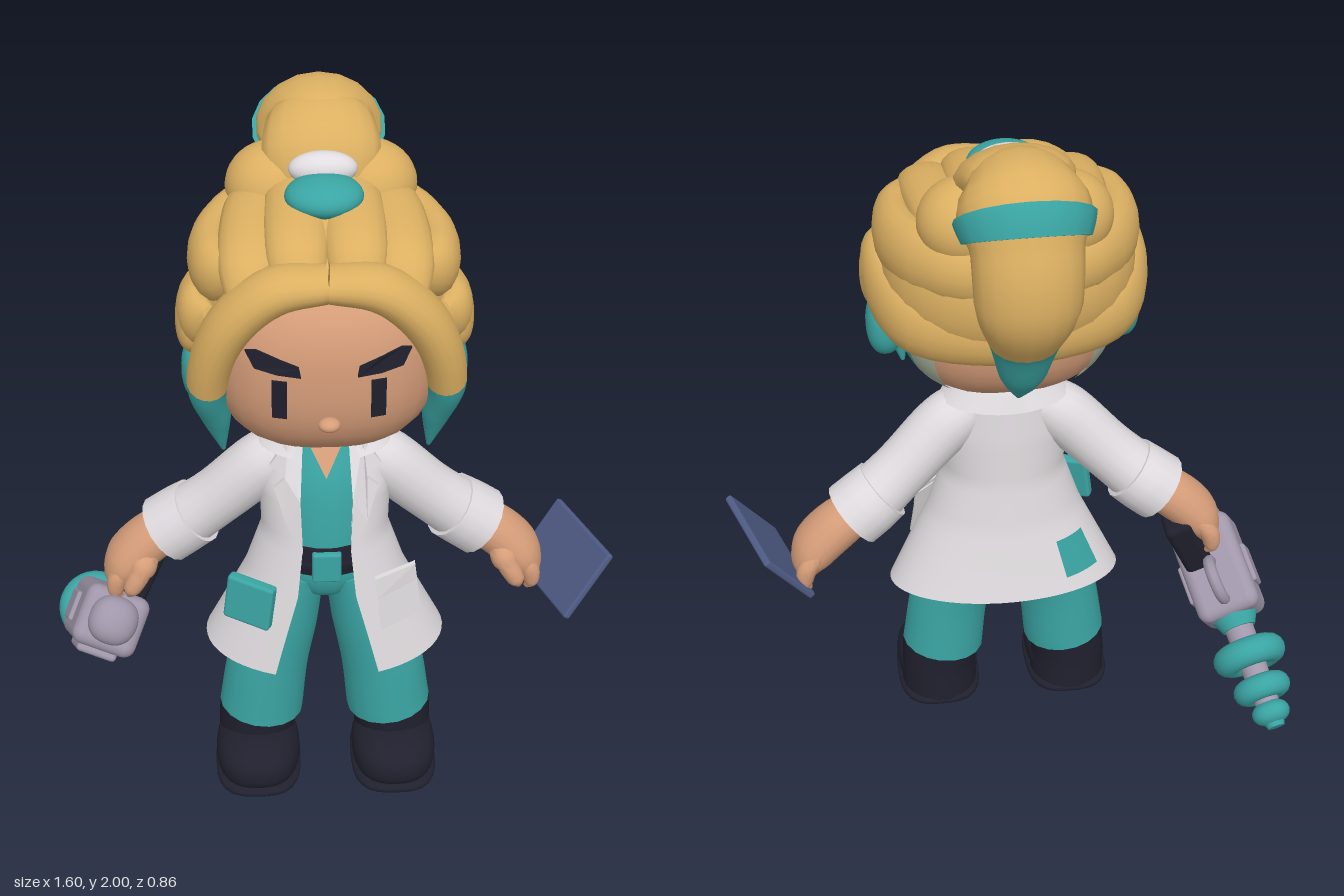
import * as THREE from 'three';
import { mergeVertices, toCreasedNormals } from 'three/addons/utils/BufferGeometryUtils.js';
import { RoundedBoxGeometry } from 'three/addons/geometries/RoundedBoxGeometry.js';

const material = (name, color, side = THREE.FrontSide) => {
  const m = new THREE.MeshStandardMaterial({ color, side });
  m.name = name;
  return m;
};

export function createModel() {
  const root = new THREE.Group();
  const hair = material('golden hair', 0xdcb062);
  const teal = material('teal', 0x3aa5a3, THREE.DoubleSide);
  const skin = material('skin', 0xd69d79);
  const white = material('coat white', 0xe0dcdf, THREE.DoubleSide);
  const black = material('dark leather', 0x20202e);
  const grey = material('tool grey', 0xa097aa);
  const navy = material('tablet blue', 0x4f5c86);
  const fade = material('faded teal', 0xa9b49c, THREE.DoubleSide);

  const add = (name, geo, mat, pos = [0, 0, 0], parent = root) => {
    const m = new THREE.Mesh(geo, mat);
    m.name = name;
    m.position.set(...pos);
    parent.add(m);
    return m;
  };

  // Surface from f(u, v) -> Vector3, faces outward along du x dv
  const grid = (nu, nv, f) => {
    const pos = [], idx = [];
    for (let j = 0; j <= nv; j++)
      for (let i = 0; i <= nu; i++) pos.push(...f(i / nu, j / nv, j).toArray());
    for (let j = 0; j < nv; j++)
      for (let i = 0; i < nu; i++) {
        const a = j * (nu + 1) + i, c = a + nu + 1;
        idx.push(a, a + 1, c, a + 1, c + 1, c);
      }
    const g = new THREE.BufferGeometry();
    g.setAttribute('position', new THREE.Float32BufferAttribute(pos, 3));
    g.setIndex(idx);
    g.computeVertexNormals();
    return g;
  };

  // Capped sweep through [x, y, z, radiusA, radiusB]; radiusB lies along ref
  const X = new THREE.Vector3(1, 0, 0), Y = new THREE.Vector3(0, 1, 0), Z = new THREE.Vector3(0, 0, 1);
  const loft = (name, mat, pts, ref = Z, v0 = 0, v1 = 1, seg = 18) => {
    const path = new THREE.CatmullRomCurve3(pts.map(p => new THREE.Vector3(p[0], p[1], p[2])));
    const radii = new THREE.CatmullRomCurve3(pts.map(p => new THREE.Vector3(p[3], p[4] ?? p[3], 0)));
    const g = grid(18, seg + 2, (u, _, j) => {
      const t = v0 + (v1 - v0) * THREE.MathUtils.clamp((j - 1) / seg, 0, 1);
      const c = path.getPoint(t), r = radii.getPoint(t), tan = path.getTangent(t);
      if (j === 0 || j === seg + 2) return c;
      const side = tan.clone().cross(ref).normalize(), nrm = tan.clone().cross(side);
      const a = u * Math.PI * 2;
      return c.addScaledVector(side, Math.max(r.x, 0.002) * Math.cos(a))
        .addScaledVector(nrm, Math.max(r.y, 0.002) * Math.sin(a));
    });
    return add(name, toCreasedNormals(g, 0.9), mat);
  };

  // Rounded block: ellipsoid with exponent p
  const blob = (name, mat, pos, r, p = 2, parent = root) => {
    let g = new THREE.SphereGeometry(1, 32, 22);
    g.deleteAttribute('uv'); g.deleteAttribute('normal');
    const a = g.attributes.position;
    for (let i = 0; i < a.count; i++) {
      const v = [a.getX(i), a.getY(i), a.getZ(i)];
      const k = Math.pow(v.reduce((s, c) => s + Math.abs(c) ** p, 0), -1 / p);
      a.setXYZ(i, v[0] * k * r[0], v[1] * k * r[1], v[2] * k * r[2]);
    }
    g = mergeVertices(g);
    g.computeVertexNormals();
    return add(name, g, mat, pos, parent);
  };

  // Thin plate cut from an outline and draped over zAt(x, y)
  const plate = (name, mat, pts, zAt, depth = 0.008) => {
    const g = new THREE.ExtrudeGeometry(new THREE.Shape(pts.map(p => new THREE.Vector2(...p))), { depth, bevelEnabled: false });
    const a = g.attributes.position;
    for (let i = 0; i < a.count; i++) a.setZ(i, a.getZ(i) + zAt(a.getX(i), a.getY(i)));
    g.computeVertexNormals();
    return add(name, g, mat);
  };
  const flip = (pts, s) => pts.map(([x, ...rest]) => [x * s, ...rest]);

  // Head and face
  const H = [0.3, 0.28, 0.278], HP = 2.6, HC = [0, 1.45, 0.12];
  blob('head', skin, HC, H, HP);
  const faceZ = (x, y) => HC[2] + H[2] * Math.max(0, 1 - Math.abs(x / H[0]) ** HP - Math.abs((y - HC[1]) / H[1]) ** HP) ** (1 / HP);
  blob('nose', skin, [0, 1.35, 0.405], [0.028, 0.018, 0.025]);
  for (const s of [1, -1]) {
    plate('eye', black, flip([[0.105, 1.362], [0.143, 1.362], [0.143, 1.472], [0.105, 1.472]], s), faceZ);
    plate('eyebrow', black, flip([[0.07, 1.487], [0.13, 1.492], [0.185, 1.5], [0.207, 1.54], [0.18, 1.549], [0.13, 1.535], [0.075, 1.515]], s), faceZ);
    // Dyed undercut patches over the ear
    const patch = (name, mat, a0, a1) => add(name, grid(8, 8, (u, v) => {
      const az = THREE.MathUtils.degToRad(a0 + (a1 - a0) * u), el = -0.75 + 0.75 * v;
      const d = new THREE.Vector3(s * Math.sin(az) * Math.cos(el), Math.sin(el), Math.cos(az) * Math.cos(el));
      const k = ['x', 'y', 'z'].reduce((t, c, i) => t + Math.abs(d[c] / H[i]) ** HP, 0) ** (-1 / HP);
      return d.multiplyScalar(k * 1.012).add(new THREE.Vector3(...HC));
    }), mat);
    patch('undercut', teal, 92, 118);
    patch('undercutFade', fade, 118, 136);
  }

  // Hair: cap, wrapped rolls, top locks, framing bangs
  blob('hairCap', hair, [0, 1.57, 0.04], [0.335, 0.24, 0.29], 2.2);
  const wrap = (name, half) => loft(name, hair, [...half, ...flip(half.slice(0, -1).reverse(), -1)], Y, 0, 1, 40);
  wrap('lowerHairRoll', [[0.29, 1.57, 0.24, 0.02, 0.03], [0.325, 1.54, 0.17, 0.05, 0.08], [0.325, 1.5, 0.03, 0.05, 0.095], [0.25, 1.48, -0.11, 0.055, 0.095], [0, 1.47, -0.18, 0.055, 0.09]]);
  wrap('upperHairRoll', [[0.22, 1.69, 0.25, 0.03, 0.04], [0.275, 1.66, 0.16, 0.06, 0.085], [0.28, 1.65, 0.02, 0.065, 0.1], [0.2, 1.66, -0.12, 0.07, 0.1], [0, 1.66, -0.18, 0.07, 0.1]]);
  for (const s of [1, -1]) {
    for (const [x, y] of [[0.07, 1.77], [0.18, 1.735]])
      loft('topLock', hair, [[x * s, y - 0.1, 0.31, 0.03, 0.06], [x * 1.05 * s, y - 0.03, 0.23, 0.055, 0.08], [x * s, y, 0.08, 0.055, 0.085], [x * 0.9 * s, y, -0.07, 0.055, 0.08], [x * 0.7 * s, y - 0.05, -0.17, 0.03, 0.05]], X);
    blob('crownLobe', hair, [0.125 * s, 1.765, -0.1], [0.125, 0.115, 0.12]);
    const bang = flip([[0, 1.705, 0.315, 0.045, 0.065], [0.13, 1.69, 0.32, 0.058, 0.075], [0.245, 1.58, 0.3, 0.06, 0.08], [0.303, 1.4, 0.265, 0.055, 0.075], [0.285, 1.27, 0.235, 0.038, 0.045], [0.27, 1.16, 0.22, 0.006, 0.008]], s);
    loft('bang', hair, bang, Z, 0, 0.6);
    loft('bangTip', teal, bang, Z, 0.6, 1);
    blob('sideCurl', hair, [0.335 * s, 1.5, 0.12], [0.05, 0.085, 0.085], 2.4);
    blob('sideCurlTip', teal, [0.325 * s, 1.35, 0.12], [0.05, 0.09, 0.07], 2.3);
  }

  // Ponytail with dyed end, tie and forward tuft
  const tail = [[0, 1.84, -0.06, 0.06, 0.09], [0, 1.89, -0.2, 0.11, 0.14], [0, 1.79, -0.3, 0.11, 0.14], [0, 1.65, -0.325, 0.105, 0.135], [0, 1.5, -0.27, 0.07, 0.09], [0, 1.38, -0.23, 0.048, 0.06], [0, 1.27, -0.17, 0.006, 0.008]];
  loft('ponytail', hair, tail, X, 0, 0.65, 26);
  loft('ponytailTip', teal, tail, X, 0.65, 1);
  loft('hairTie', teal, tail.map(([x, y, z, a, b]) => [x, y, z, a + 0.012, b + 0.012]), X, 0.25, 0.31, 6);
  loft('hairTuft', hair, [[0, 1.91, -0.25, 0.03, 0.08], [0, 1.915, -0.18, 0.075, 0.135], [0, 1.87, -0.09, 0.08, 0.155], [0, 1.79, -0.05, 0.06, 0.14], [0, 1.73, -0.06, 0.02, 0.07]], X);
  blob('hairClip', teal, [0, 1.825, 0.085], [0.1, 0.05, 0.088]);
  blob('hairClipBand', white, [0, 1.865, 0.015], [0.088, 0.045, 0.045]);

  // Neck, shirt, belt
  loft('neck', skin, [[0, 1.06, 0.09, 0.06], [0, 1.13, 0.09, 0.055], [0, 1.22, 0.09, 0.055]]);
  loft('shirt', teal, [[0, 0.62, 0.13, 0.03, 0.04], [0, 0.66, 0.13, 0.11, 0.1], [0, 0.73, 0.13, 0.15, 0.122], [0, 0.85, 0.13, 0.14, 0.122], [0, 1, 0.12, 0.14, 0.112], [0, 1.15, 0.1, 0.085, 0.07]]);
  plate('neckline', skin, [[0, 1.06], [0.06, 1.17], [-0.06, 1.17]], (x, y) => 0.226 - (y - 1.06) * 0.6, 0.009);
  loft('belt', black, [[0, 0.755, 0.13, 0.155, 0.138], [0, 0.8, 0.13, 0.155, 0.138], [0, 0.84, 0.13, 0.152, 0.136]]);
  add('buckle', new RoundedBoxGeometry(0.08, 0.095, 0.03, 2, 0.008), teal, [0, 0.79, 0.265]);

  // Coat: open rings [y, rx, rz, centreZ, half opening]
  const COAT = [[1.19, 0.075, 0.07, 0.09, 0.055], [1.14, 0.15, 0.1, 0.1, 0.07], [1, 0.18, 0.13, 0.12, 0.07], [0.85, 0.175, 0.145, 0.13, 0.065], [0.7, 0.225, 0.165, 0.13, 0.08], [0.46, 0.34, 0.203, 0.118, 0.145]];
  const ringAt = (table, y) => {
    let i = 0;
    while (i < table.length - 2 && y < table[i + 1][0]) i++;
    const k = THREE.MathUtils.clamp((table[i][0] - y) / (table[i][0] - table[i + 1][0]), 0, 1);
    return table[i].map((c, n) => c + (table[i + 1][n] - c) * k);
  };
  const openRing = (name, table, tilt) => add(name, grid(48, 30, (u, v) => {
    const top = table[0][0], y = top + (table[table.length - 1][0] - top) * v;
    const [, rx, rz, zc, gap] = ringAt(table, y), a0 = Math.asin(gap / rx);
    const a = a0 + (2 * Math.PI - 2 * a0) * u;
    return new THREE.Vector3(rx * Math.sin(a), y - tilt * Math.cos(a) * v ** 4, zc + rz * Math.cos(a));
  }), white);
  openRing('coat', COAT, 0.028);
  openRing('collar', [[1.2, 0.08, 0.075, 0.09, 0.06], [1.16, 0.13, 0.1, 0.095, 0.07], [1.11, 0.18, 0.125, 0.1, 0.09]], 0);
  const coatZ = (x, y) => {
    const [, rx, rz, zc] = ringAt(COAT, y);
    return zc + rz * Math.sqrt(Math.max(0.05, 1 - (x / rx) ** 2));
  };
  for (const s of [1, -1])
    plate('lapel', white, flip([[0.06, 1.17], [0.1, 1.15], [0.15, 1.07], [0.11, 1.055], [0.14, 1.02], [0.11, 0.93], [0.065, 0.85], [0.07, 1]], s), (x, y) => coatZ(x, y) + 0.008, 0.012);
  plate('coatPocket', white, [[0.15, 0.58], [0.27, 0.57], [0.25, 0.72], [0.135, 0.73]], (x, y) => coatZ(x, y) + 0.002, 0.012);
  plate('pocketFlap', white, [[0.139, 0.685], [0.257, 0.675], [0.25, 0.73], [0.133, 0.745]], (x, y) => coatZ(x, y) + 0.006, 0.016);
  const pouch = add('pouch', new RoundedBoxGeometry(0.14, 0.14, 0.035, 2, 0.01), teal, [-0.212, 0.672, 0.262]);
  pouch.rotation.set(-0.1, -0.45, -0.14);
  add('backPatch', grid(8, 8, (u, v) => {
    const y = 0.53 + 0.12 * v, [, rx, rz, zc] = ringAt(COAT, y), a = Math.PI + 0.55 + 0.45 * u;
    return new THREE.Vector3((rx + 0.006) * Math.sin(a), y, zc + (rz + 0.006) * Math.cos(a));
  }), teal);

  // Limbs
  for (const s of [1, -1]) {
    loft('sleeve', white, flip([[0.09, 1.08, 0.095, 0.07, 0.08], [0.17, 1.02, 0.09, 0.086, 0.086], [0.29, 0.9, 0.07, 0.083, 0.083], [0.41, 0.79, 0.045, 0.09, 0.092]], s));
    loft('cuff', white, flip([[0.355, 0.835, 0.055, 0.096, 0.096], [0.4, 0.8, 0.047, 0.099, 0.101], [0.445, 0.765, 0.042, 0.1, 0.102]], s));
    loft('hand', skin, flip([[0.41, 0.79, 0.045, 0.06, 0.065], [0.49, 0.735, 0.04, 0.07, 0.08], [0.555, 0.67, 0.04, 0.065, 0.09], [0.585, 0.615, 0.04, 0.045, 0.075], [0.59, 0.58, 0.04, 0.01, 0.04]], s));
    for (const z of [-0.03, 0.015, 0.06, 0.1])
      loft('finger', skin, flip([[0.55, 0.68, z, 0.02], [0.585, 0.635, z, 0.028], [0.592, 0.592, z, 0.023], [0.58, 0.57, z, 0.008]], s));
    loft('thumb', skin, flip([[0.49, 0.72, 0.08, 0.03], [0.52, 0.665, 0.12, 0.03], [0.545, 0.62, 0.13, 0.025], [0.555, 0.595, 0.13, 0.006]], s));
    loft('trouserLeg', teal, flip([[0.075, 0.72, 0.13, 0.08, 0.115], [0.125, 0.53, 0.13, 0.108, 0.12], [0.165, 0.36, 0.135, 0.117, 0.115], [0.187, 0.19, 0.135, 0.122, 0.116]], s));
    loft('bootShaft', black, flip([[0.2, 0.02, 0.135, 0.115, 0.115], [0.2, 0.12, 0.135, 0.112, 0.112], [0.193, 0.195, 0.135, 0.116, 0.112]], s));
    blob('bootToe', black, [0.2 * s, 0.075, 0.2], [0.122, 0.078, 0.157], 2.5);
    blob('bootSole', black, [0.2 * s, 0.022, 0.19], [0.125, 0.022, 0.17], 3);
  }

  // Group whose local axes are given in model space
  const frame = (name, origin, x, y, z) => {
    const g = new THREE.Group();
    g.name = name;
    g.applyMatrix4(new THREE.Matrix4().makeBasis(x, y, z).setPosition(...origin));
    root.add(g);
    return g;
  };

  // Tablet in the left hand, screen on the outer side
  const tu = new THREE.Vector3(0.1, 0.02, 0.3).normalize();
  const tn = tu.clone().cross(new THREE.Vector3(0.125, 0.18, -0.045)).normalize();
  const tablet = frame('tablet', [0.685, 0.648, 0.075], tu, tn.clone().cross(tu), tn);
  add('tabletCase', new RoundedBoxGeometry(0.32, 0.225, 0.022, 2, 0.008), navy, [0, 0, 0], tablet);
  add('tabletScreen', new THREE.BoxGeometry(0.285, 0.19, 0.006), teal, [0, 0, -0.011], tablet);

  // Coil tool in the right hand, nose along local +z
  const gz = new THREE.Vector3(0.195, 0.54, 0.82).normalize();
  const gx = new THREE.Vector3(0.37, 0.73, -0.57).cross(gz).normalize();
  const tool = frame('coilTool', [-0.635, 0.44, 0.03], gx, gz.clone().cross(gx), gz);
  const rod = (name, mat, r0, r1, len, z) => {
    add(name, new THREE.CylinderGeometry(r1, r0, len, 24), mat, [0, 0, z], tool).rotation.x = Math.PI / 2;
  };
  add('toolBody', new RoundedBoxGeometry(0.19, 0.18, 0.31, 3, 0.035), grey, [0, 0, 0], tool);
  add('toolBelly', new RoundedBoxGeometry(0.12, 0.04, 0.17, 2, 0.012), grey, [0, -0.095, 0], tool);
  for (const s of [1, -1]) add('sidePanel', new RoundedBoxGeometry(0.02, 0.09, 0.12, 2, 0.008), grey, [0.097 * s, 0, -0.02], tool);
  blob('nose', grey, [0, 0.005, 0.16], [0.07, 0.07, 0.06], 2.3, tool);
  rod('neckRing', teal, 0.05, 0.07, 0.04, -0.17);
  rod('shaft', grey, 0.035, 0.045, 0.32, -0.3);
  for (const [z, r, tube] of [[-0.275, 0.068, 0.042], [-0.38, 0.05, 0.036]])
    add('coilRing', new THREE.TorusGeometry(r, tube, 14, 32), teal, [0, 0, z], tool);
  blob('coilTip', teal, [0, 0, -0.455], [0.056, 0.056, 0.036], 2.2, tool);
  rod('coilEnd', teal, 0.025, 0.035, 0.03, -0.485);
  const grip = add('grip', new RoundedBoxGeometry(0.085, 0.22, 0.1, 2, 0.02), black, [0.035, 0.15, 0.085], tool);
  grip.rotation.x = 0.45;
  add('gripGuard', new THREE.TorusGeometry(0.06, 0.018, 8, 24), grey, [0, 0.1, -0.05], tool).rotation.y = Math.PI / 2;

  return root;
}
